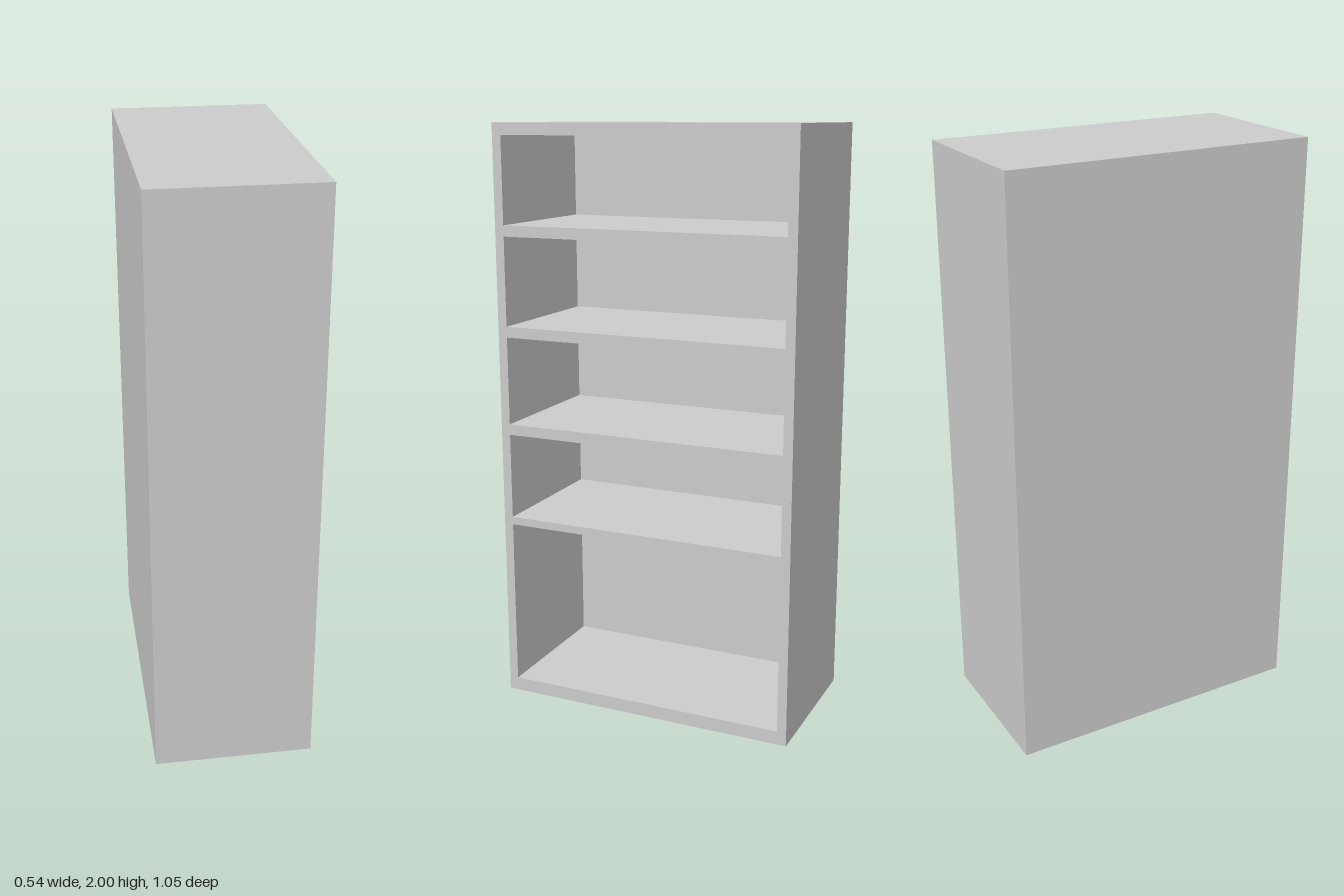
import * as THREE from 'three';

const HALF_DEPTH = 0.27, HALF_WIDTH = 0.527, HEIGHT = 2;
const BACK = 0.037;          // back panel thickness
const INNER = 0.495;         // half width of each compartment

// Bottom and top height of each open compartment
const COMPARTMENTS = [
  [0.047, 0.63], [0.657, 0.954], [0.991, 1.293], [1.33, 1.632], [1.669, 1.96],
];

function rectangle(target, halfWidth, bottom, top) {
  target.moveTo(-halfWidth, bottom);
  target.lineTo(halfWidth, bottom);
  target.lineTo(halfWidth, top);
  target.lineTo(-halfWidth, top);
  target.closePath();
  return target;
}

export function createModel() {
  const group = new THREE.Group();
  group.name = 'bookcase';
  const material = new THREE.MeshStandardMaterial({ color: 0xcccccc });

  // Sides, top, base and shelves: one flush frame that opens towards +x
  const outline = rectangle(new THREE.Shape(), HALF_WIDTH, 0, HEIGHT);
  for (const [bottom, top] of COMPARTMENTS) {
    outline.holes.push(rectangle(new THREE.Path(), INNER, bottom, top));
  }
  const frameGeometry = new THREE.ExtrudeGeometry(outline, {
    depth: 2 * HALF_DEPTH - BACK, bevelEnabled: false,
  });
  frameGeometry.rotateY(Math.PI / 2);
  const frame = new THREE.Mesh(frameGeometry, material);
  frame.name = 'shelfFrame';
  frame.position.x = -HALF_DEPTH + BACK;
  group.add(frame);

  // Solid panel closing the -x side
  const back = new THREE.Mesh(new THREE.BoxGeometry(BACK, HEIGHT, 2 * HALF_WIDTH), material);
  back.name = 'backPanel';
  back.position.set(-HALF_DEPTH + BACK / 2, HEIGHT / 2, 0);
  group.add(back);

  return group;
}
